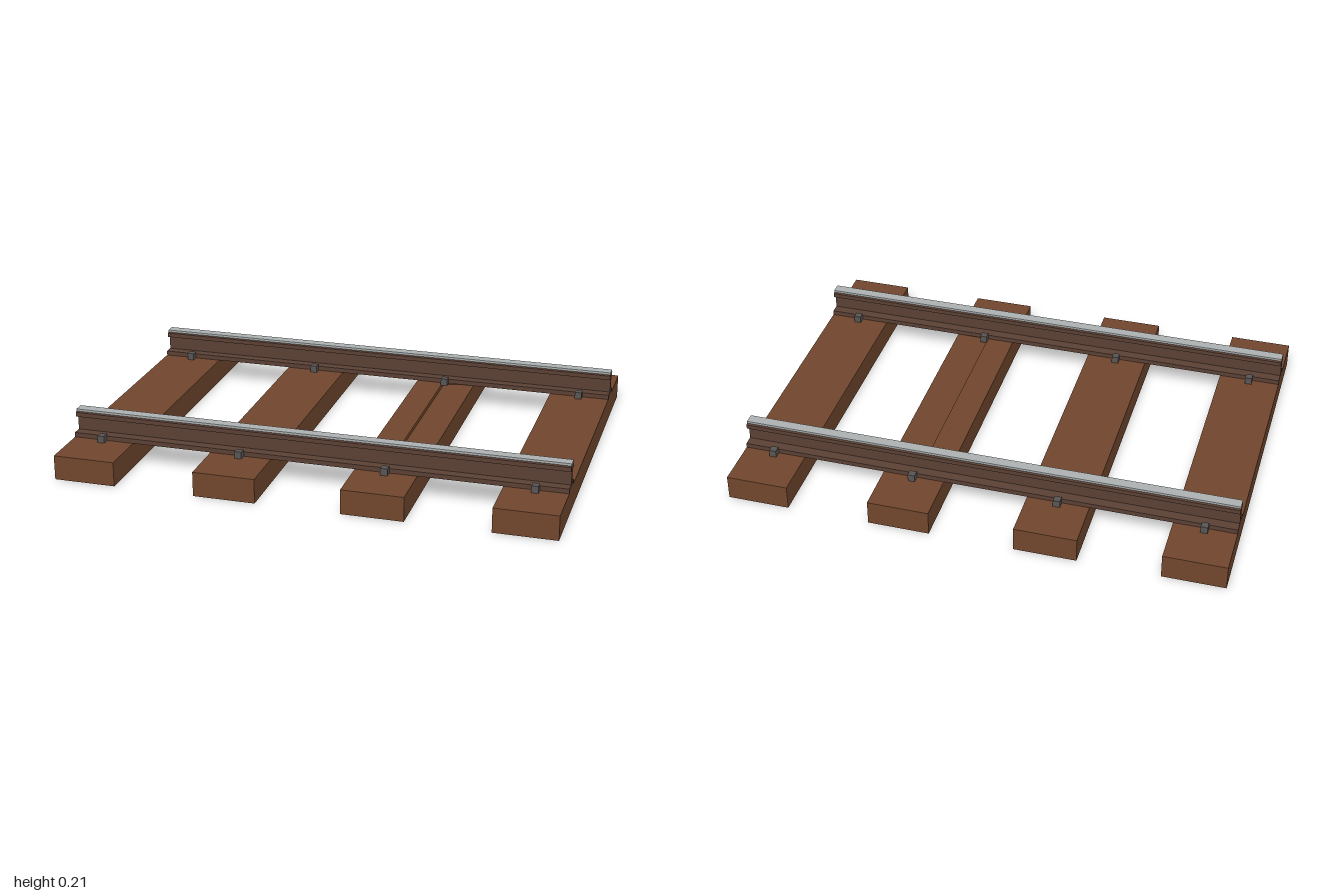
import * as THREE from 'three';

const mat = (name, color) => {
  const m = new THREE.MeshStandardMaterial({ color });
  m.name = name;
  return m;
};

export function createModel() {
  const wood = mat('brown wood', 0x70462d);
  const rust = mat('rusty steel', 0x5a4035);
  const polished = mat('polished steel', 0xabb0b0);
  const iron = mat('dark iron', 0x575553);
  const model = new THREE.Group();
  model.name = 'railwayTrack';

  const box = (parent, name, material, size, pos) => {
    const mesh = new THREE.Mesh(new THREE.BoxGeometry(...size), material);
    mesh.name = name;
    mesh.position.set(...pos);
    parent.add(mesh);
  };

  // Constant cross-section of [u, y] points, extruded and centred along z
  const prism = (points, length) => {
    const shape = new THREE.Shape(points.map(p => new THREE.Vector2(...p)));
    const g = new THREE.ExtrudeGeometry(shape, { depth: length, bevelEnabled: false });
    return g.translate(0, 0, -length / 2);
  };

  // Sleepers; the third has a shallow split between the rails
  const tieX = [-0.875, -0.297, 0.292, 0.875];
  tieX.forEach((x, i) => {
    if (i !== 2) {
      box(model, 'sleeper', wood, [0.25, 0.1, 1.5], [x, 0.05, 0]);
      return;
    }
    const split = new THREE.Mesh(
      prism([[0.168, 0], [0.416, 0], [0.416, 0.1], [0.281, 0.085], [0.28, 0.1], [0.168, 0.1]], 0.94), wood);
    split.name = 'splitSleeperMiddle';
    model.add(split);
    for (const s of [-1, 1]) box(model, 'splitSleeperEnd', wood, [0.248, 0.1, 0.28], [x, 0.05, s * 0.61]);
  });

  // Rail profile: flat foot, thin web, head with a polished running strip
  const half = [[0.049, 0.1], [0.049, 0.119], [0.009, 0.119], [0.009, 0.18], [0.029, 0.18], [0.029, 0.198], [0.022, 0.201]];
  const profile = [...half, ...half.map(([u, y]) => [-u, y]).reverse()];
  for (const side of [-1, 1]) {
    const rail = new THREE.Group();
    rail.name = side > 0 ? 'frontRail' : 'backRail';
    rail.position.z = side * 0.5;
    const beam = new THREE.Mesh(prism(profile, 2).rotateY(Math.PI / 2), rust);
    beam.name = 'railBeam';
    rail.add(beam);
    box(rail, 'runningSurface', polished, [2, 0.009, 0.042], [0, 0.2055, 0]);

    // Spikes holding both edges of the foot to every sleeper
    for (const x of tieX) for (const s of [-1, 1]) {
      box(rail, 'spike', iron, [0.028, 0.03, 0.03], [x, 0.114, s * 0.064]);
    }
    model.add(rail);
  }
  return model;
}
